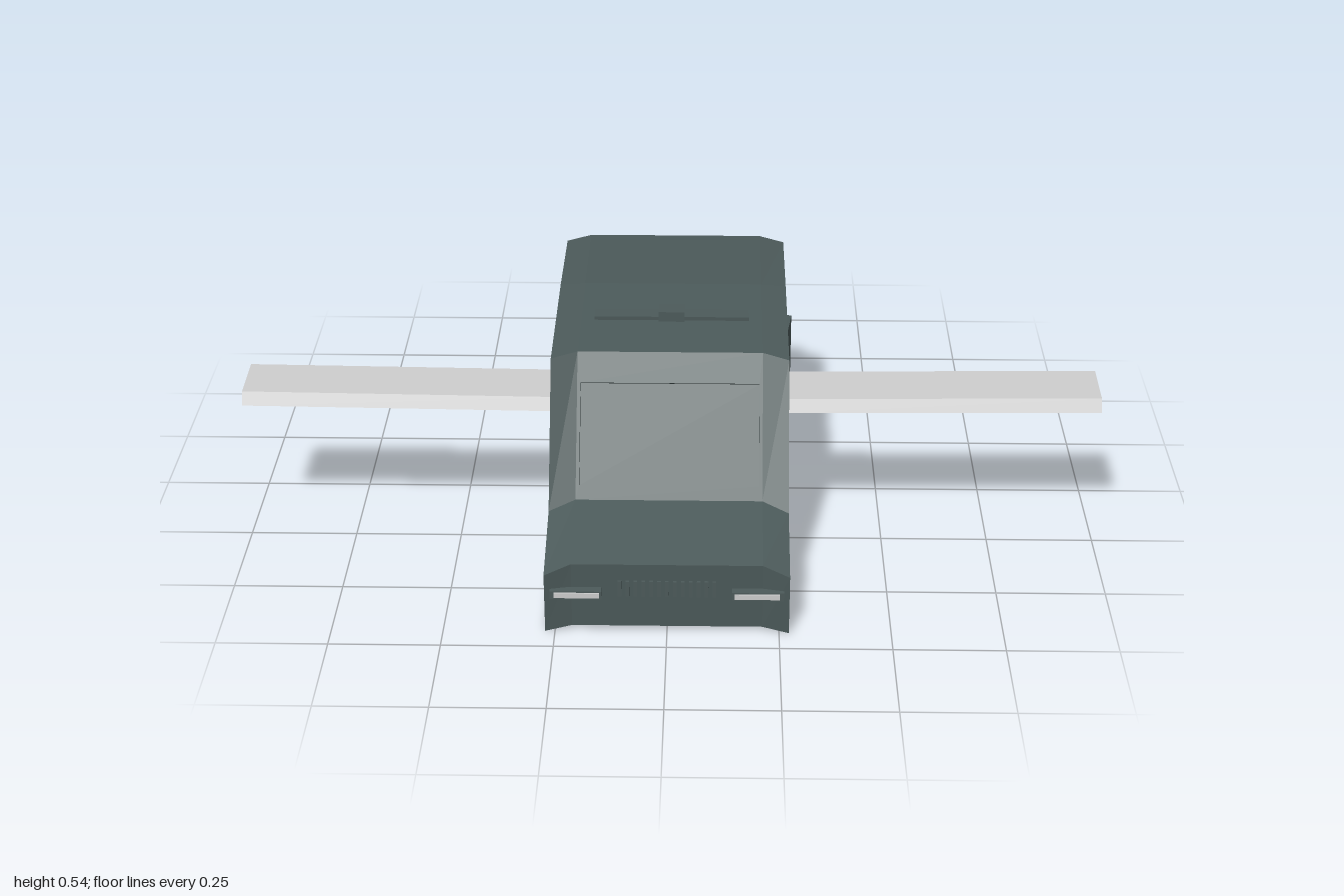
import * as THREE from 'three';

const bodyPaint = new THREE.MeshStandardMaterial({ color: 0x4c5a5a });
bodyPaint.name = 'slate green';
const wingPaint = new THREE.MeshStandardMaterial({ color: 0xcccccc });
wingPaint.name = 'light grey';

function mesh(name, geometry, material, x = 0, y = 0, z = 0) {
  const m = new THREE.Mesh(geometry, material);
  m.name = name;
  m.position.set(x, y, z);
  return m;
}

function box(name, w, h, d, material, x, y, z) {
  return mesh(name, new THREE.BoxGeometry(w, h, d), material, x, y, z);
}

// Hull made of flat quads, with recessed windows front and rear
function hullGeometry() {
  const out = [];
  const quad = (a, b, c, d) => {
    for (const p of [a, b, c, a, c, d]) out.push(p.x, p.y, p.z);
  };

  // Profile from nose to tail: z and y at the sides, z and y in the middle, half width
  const profile = [
    [0.685, 0, 0.675, 0.01, 0.272],
    [0.695, 0.148, 0.682, 0.17, 0.272],
    [0.495, 0.2, 0.47, 0.217, 0.272],
    [0.33, 0.505, 0.302, 0.51, 0.271],
    [-0.05, 0.522, -0.05, 0.526, 0.27],
    [-0.345, 0.512, -0.37, 0.518, 0.27],
    [-0.45, 0.2, -0.475, 0.2, 0.28],
    [-0.485, 0.168, -0.52, 0.17, 0.284],
    [-0.678, 0.16, -0.695, 0.162, 0.305],
    [-0.678, 0, -0.695, 0, 0.305],
  ];
  const columns = [-1, -0.78, 0.78, 1];
  const last = profile.length - 1;
  const top = (c, i) => {
    const [zs, ys, zc, yc, w] = profile[i];
    const edge = c === 0 || c === 3;
    return new THREE.Vector3(columns[c] * w, edge ? ys : yc, edge ? zs : zc);
  };
  const bottom = (c, i) => {
    if (i === 1) return top(c, 0);
    return top(c, i).setY(0);
  };

  // Panel with a sunken rectangle
  const windowPanel = (a, b, c, d, u0, v0, v1, depth) => {
    const at = (u, v) => a.clone().lerp(b, u).lerp(d.clone().lerp(c, u), v);
    const normal = b.clone().sub(a).cross(d.clone().sub(a)).normalize();
    const outer = [a, b, c, d];
    const rim = [at(u0, v0), at(1 - u0, v0), at(1 - u0, v1), at(u0, v1)];
    const inner = rim.map((p) => p.clone().addScaledVector(normal, -depth));
    for (let k = 0; k < 4; k++) {
      const n = (k + 1) % 4;
      quad(outer[k], outer[n], rim[n], rim[k]);
      quad(rim[k], rim[n], inner[n], inner[k]);
    }
    quad(...inner);
  };

  for (let i = 0; i < last; i++) {
    for (let c = 0; c < 3; c++) {
      const corners = [top(c, i), top(c + 1, i), top(c + 1, i + 1), top(c, i + 1)];
      if (c === 1 && i === 2) windowPanel(...corners, 0.018, 0.1, 0.79, 0.018);
      else if (c === 1 && i === 5) windowPanel(...corners, 0.03, 0.2, 0.8, 0.015);
      else quad(...corners);
    }
  }
  // Sides and underside
  for (let i = 1; i < last - 1; i++) {
    quad(bottom(3, i), bottom(3, i + 1), top(3, i + 1), top(3, i));
    quad(top(0, i), top(0, i + 1), bottom(0, i + 1), bottom(0, i));
    for (let c = 0; c < 3; c++) {
      quad(bottom(c, i + 1), bottom(c + 1, i + 1), bottom(c + 1, i), bottom(c, i));
    }
  }
  const g = new THREE.BufferGeometry();
  g.setAttribute('position', new THREE.Float32BufferAttribute(out, 3));
  g.computeVertexNormals();
  return g;
}

// Straight wing with a bevelled leading edge, rising slightly to the tip
function wingGeometry(side) {
  const section = [[0.107, 0.328], [0.252, 0.332], [0.238, 0.362], [0.107, 0.37]];
  const shape = new THREE.Shape(section.map(([z, y]) => new THREE.Vector2(-z, y)));
  const g = new THREE.ExtrudeGeometry(shape, { depth: 0.74, bevelEnabled: false });
  g.rotateY(Math.PI / 2);
  g.translate(side > 0 ? 0.26 : -1, 0, 0);
  const p = g.attributes.position;
  for (let i = 0; i < p.count; i++) {
    p.setY(i, p.getY(i) + 0.008 * (Math.abs(p.getX(i)) - 0.26) / 0.74);
  }
  g.computeVertexNormals();
  return g;
}

export function createModel() {
  const model = new THREE.Group();
  model.name = 'wingedCar';
  model.add(mesh('hull', hullGeometry(), bodyPaint));

  // Roof bar with a raised centre block
  const bar = box('roofBar', 0.36, 0.014, 0.042, bodyPaint, 0, 0.52, 0.122);
  bar.rotation.x = 0.04;
  model.add(bar);
  model.add(box('roofBlock', 0.06, 0.03, 0.044, bodyPaint, 0, 0.526, 0.128));

  for (const side of [1, -1]) {
    const label = side > 0 ? 'left' : 'right';
    model.add(mesh(label + 'Wing', wingGeometry(side), wingPaint));

    // Headlight and its housing
    model.add(box(label + 'HeadlightHousing', 0.115, 0.02, 0.03, bodyPaint, side * 0.202, 0.101, 0.685));
    model.add(box(label + 'Headlight', 0.1, 0.012, 0.008, wingPaint, side * 0.2, 0.102, 0.7));

    // Tail light on the angled rear corner: frame and inner plate
    const tail = new THREE.Group();
    tail.name = label + 'TailLight';
    tail.position.set(side * 0.266, 0.08, -0.688);
    tail.rotation.y = side * -0.23;
    tail.add(box('tailFrame', 0.05, 0.12, 0.024, bodyPaint, 0, 0, 0));
    tail.add(box('tailPlate', 0.036, 0.1, 0.008, bodyPaint, 0, 0, -0.011));
    model.add(tail);
  }

  // Nose grille of upright slats
  const grille = new THREE.Group();
  grille.name = 'grille';
  for (let i = 0; i < 13; i++) {
    grille.add(box('grilleSlat', 0.008, 0.038, 0.012, bodyPaint, (i - 6) * 0.0175, 0.11, 0.68));
  }
  model.add(grille);
  return model;
}
